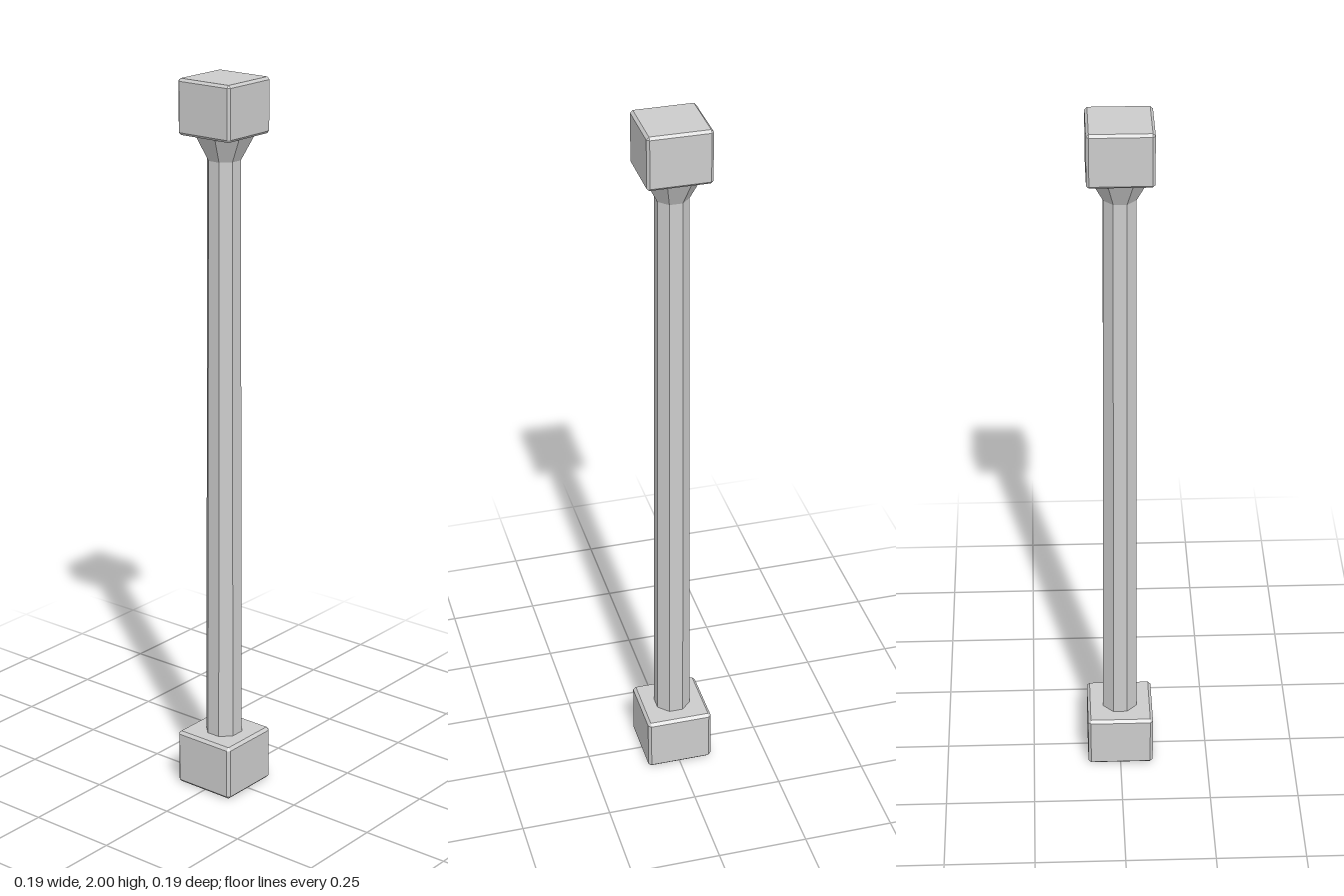
import * as THREE from 'three';
import { ConvexGeometry } from 'three/addons/geometries/ConvexGeometry.js';

const SIDES = 8;

export function createModel() {
  const group = new THREE.Group();
  const material = new THREE.MeshStandardMaterial({ color: 0xcccccc, flatShading: true });

  function add(name, geometry, y) {
    const mesh = new THREE.Mesh(geometry, material);
    mesh.name = name;
    mesh.position.y = y;
    group.add(mesh);
  }

  // Block with every edge and corner bevelled by c
  function bevelledBlock(width, height, c) {
    const half = [width / 2, height / 2, width / 2];
    const points = [];
    for (const sx of [-1, 1]) for (const sy of [-1, 1]) for (const sz of [-1, 1]) {
      for (let axis = 0; axis < 3; axis++) {
        const p = [sx, sy, sz].map((s, i) => s * (half[i] - (i === axis ? 0 : c)));
        points.push(new THREE.Vector3(...p));
      }
    }
    return new ConvexGeometry(points);
  }

  // Tapered octagonal prism with a flat face to the front; sizes are measured to the flats
  function octagon(topHalf, bottomHalf, height) {
    const k = 1 / Math.cos(Math.PI / SIDES);
    return new THREE.CylinderGeometry(topHalf * k, bottomHalf * k, height, SIDES)
      .rotateY(Math.PI / SIDES);
  }

  // Plinth, shaft, flared collar and cap, from the ground up
  add('base', bevelledBlock(0.186, 0.157, 0.008), 0.0785);
  add('shaft', octagon(0.042, 0.048, 1.65), 0.975);
  add('collar', octagon(0.077, 0.042, 0.07), 1.822);
  add('cap', bevelledBlock(0.172, 0.147, 0.007), 1.9265);

  return group;
}
